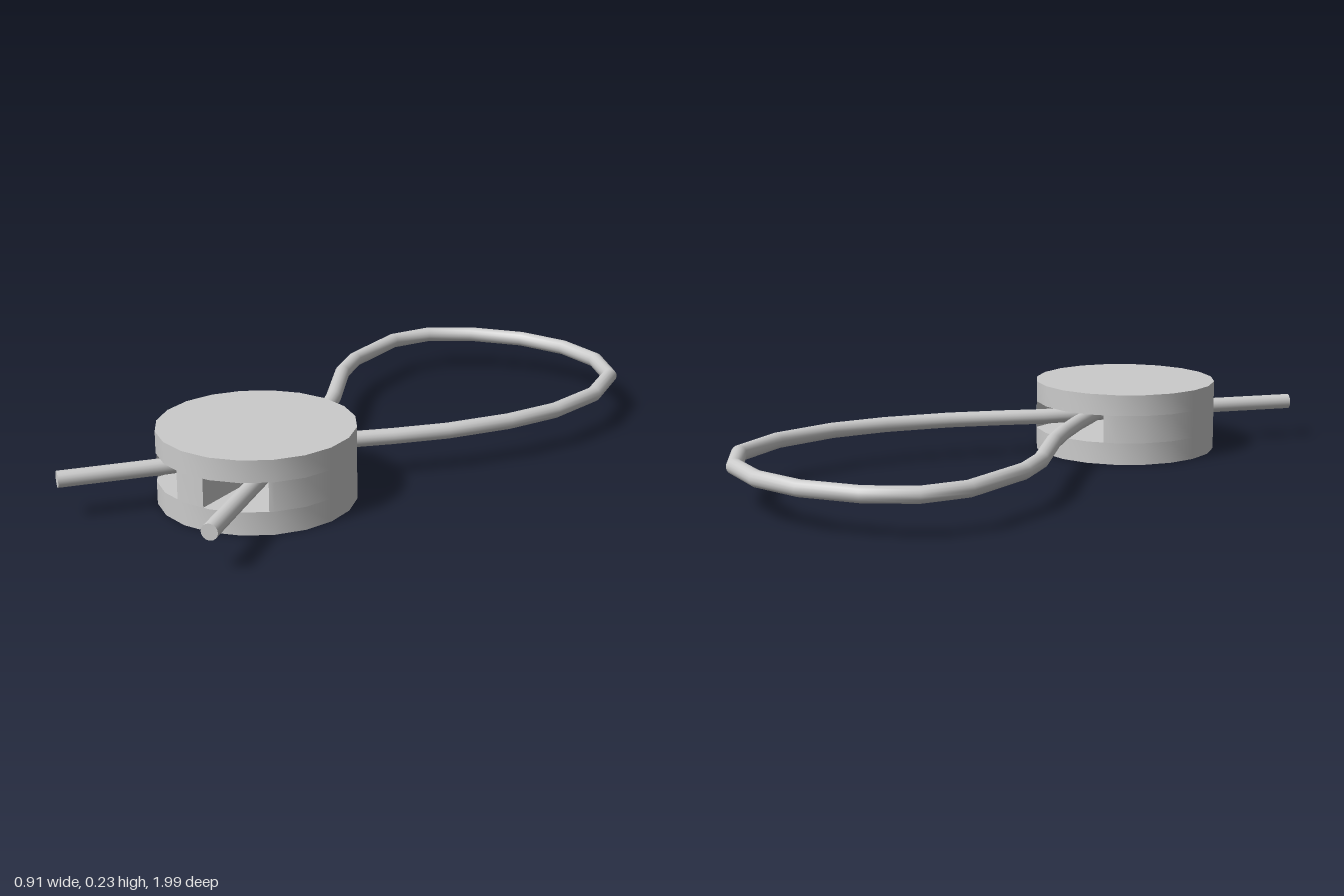
import * as THREE from 'three';
import { toCreasedNormals } from 'three/addons/utils/BufferGeometryUtils.js';

const R = 0.295, SIDES = 20, STEP = 360 / SIDES, CENTRE_Z = 0.48;
const SLOT_LOW = 0.07, SLOT_HIGH = 0.158, TOP = 0.225;
const ROPE_Y = 0.1225, ROPE_R = 0.0245;

const rad = THREE.MathUtils.degToRad;

// Point on the 20-sided rim; 90 degrees is the front
function rim(angle) {
  const within = THREE.MathUtils.euclideanModulo(angle, STEP) - STEP / 2;
  const r = R * Math.cos(rad(STEP / 2)) / Math.cos(rad(within));
  return new THREE.Vector2(r * Math.cos(rad(angle)), -r * Math.sin(rad(angle)));
}

// Rim points from one angle to another, keeping the corners between
function arc(from, to) {
  const points = [rim(from)];
  for (let a = (Math.floor(from / STEP) + 1) * STEP; a < to; a += STEP) points.push(rim(a));
  points.push(rim(to));
  return points;
}

export function createModel() {
  const model = new THREE.Group();
  model.name = 'cordToggle';
  const material = new THREE.MeshStandardMaterial({ color: 0xcccccc });

  const add = (parent, name, geometry) => {
    const mesh = new THREE.Mesh(geometry, material);
    mesh.name = name;
    parent.add(mesh);
    return mesh;
  };

  // Round housing: two discs held apart by solid pieces that leave the channels open
  const housing = new THREE.Group();
  housing.name = 'housing';
  housing.position.z = CENTRE_Z;
  model.add(housing);
  const slab = (name, outline, low, high) => {
    const geometry = new THREE.ExtrudeGeometry(new THREE.Shape(outline), { depth: high - low, bevelEnabled: false });
    geometry.rotateX(-Math.PI / 2).translate(0, low, 0);
    add(housing, name, toCreasedNormals(geometry, 0.5));
  };
  const disc = arc(0, 360 - STEP);
  slab('bottomDisc', disc, 0, SLOT_LOW);
  slab('topDisc', disc, SLOT_HIGH, TOP);
  slab('rightWall', arc(132.7, 241.7), SLOT_LOW, SLOT_HIGH);
  slab('leftWall', arc(-51.2, 38.8), SLOT_LOW, SLOT_HIGH);
  slab('frontWedge', [...arc(76.3, 95.8), new THREE.Vector2(0.02, 0)], SLOT_LOW, SLOT_HIGH);

  // Cord: x, z corners from one tail, across the housing, round the loop and back
  const path = [
    [0.29, 0.95], [0.175, 0.70], [0.06, 0.445], [-0.05, 0.19], [-0.115, 0.06], [-0.18, -0.05],
    [-0.33, -0.26], [-0.39, -0.39], [-0.43, -0.64], [-0.385, -0.78], [-0.27, -0.885],
    [-0.10, -0.96], [0.07, -0.975], [0.235, -0.93], [0.365, -0.82], [0.43, -0.63],
    [0.425, -0.42], [0.375, -0.245], [0.285, -0.055], [0.19, 0.09], [0.11, 0.20],
    [-0.02, 0.46], [-0.15, 0.72], [-0.30, 0.98],
  ].map(([x, z]) => new THREE.Vector3(x, ROPE_Y, z));
  const curve = new THREE.CatmullRomCurve3(path);
  // One tube ring on each corner
  curve.getPointAt = curve.getPoint;
  curve.getTangentAt = curve.getTangent;
  const cord = new THREE.Group();
  cord.name = 'cord';
  model.add(cord);
  add(cord, 'cordLoop', new THREE.TubeGeometry(curve, path.length - 1, ROPE_R, 16, false));

  // Flat cut ends
  for (const [t, sign] of [[0, -1], [1, 1]]) {
    const cap = add(cord, 'cordEnd', new THREE.CircleGeometry(ROPE_R, 16));
    cap.position.copy(curve.getPoint(t));
    cap.lookAt(cap.position.clone().addScaledVector(curve.getTangent(t), sign));
  }
  return model;
}
